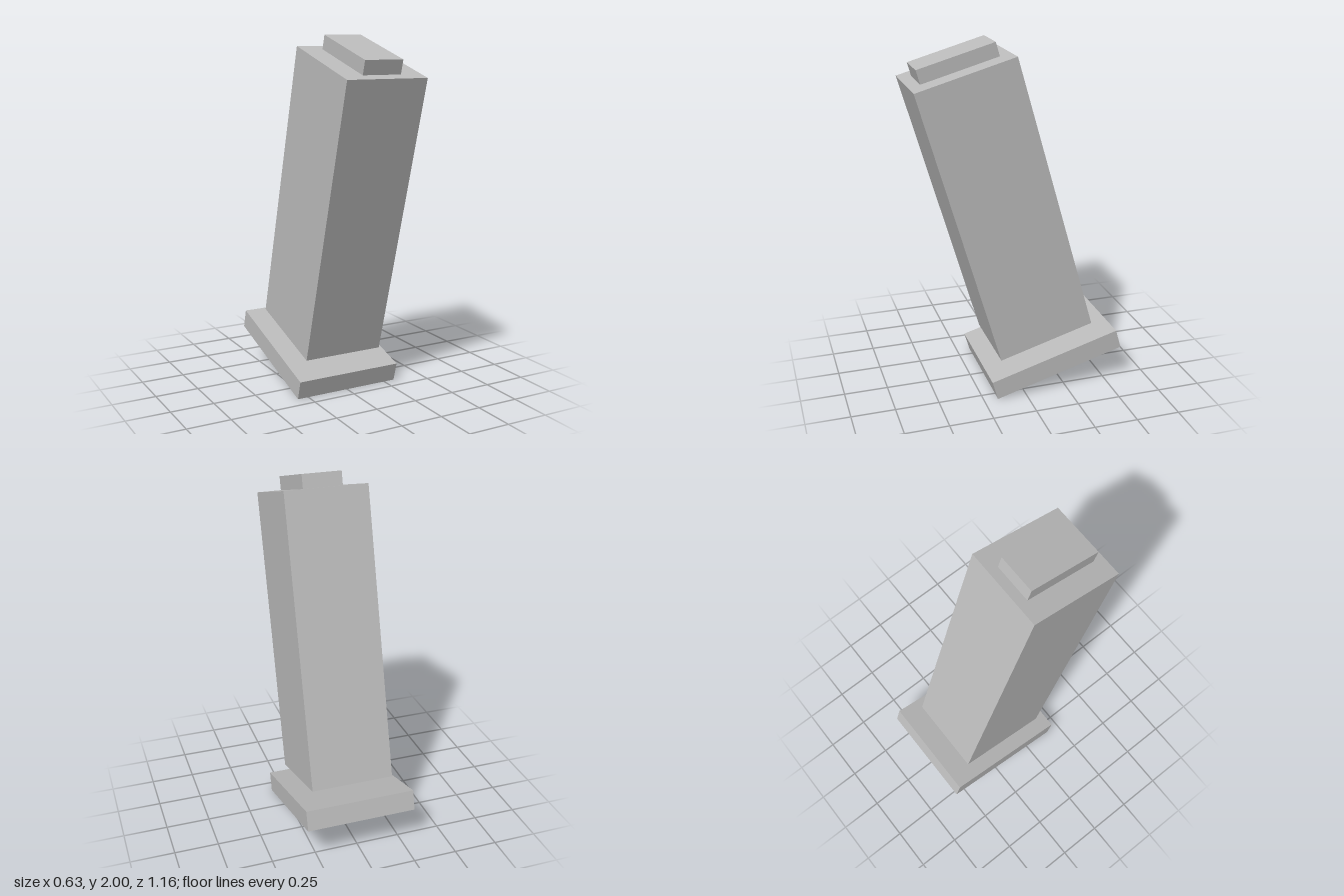
import * as THREE from 'three';

export function createModel() {
  const model = new THREE.Group();
  model.name = 'leaningTower';

  const grey = new THREE.MeshStandardMaterial({ color: 0xbcbcbc });
  grey.name = 'plain grey';

  // every block shares the same forward lean
  const lean = THREE.MathUtils.degToRad(16);
  const addBlock = (name, [w, h, d], y, z) => {
    const mesh = new THREE.Mesh(new THREE.BoxGeometry(w, h, d), grey);
    mesh.name = name;
    mesh.position.set(0, y, z);
    mesh.rotation.x = lean;
    model.add(mesh);
  };

  // detached foot plate, tall body, and cap near the front of the top
  addBlock('footPlate', [0.63, 0.114, 0.78], 0.162, -0.19);
  addBlock('body', [0.475, 1.649, 0.571], 1.07, 0.078);
  addBlock('cap', [0.226, 0.08, 0.446], 1.901, 0.315);

  return model;
}
